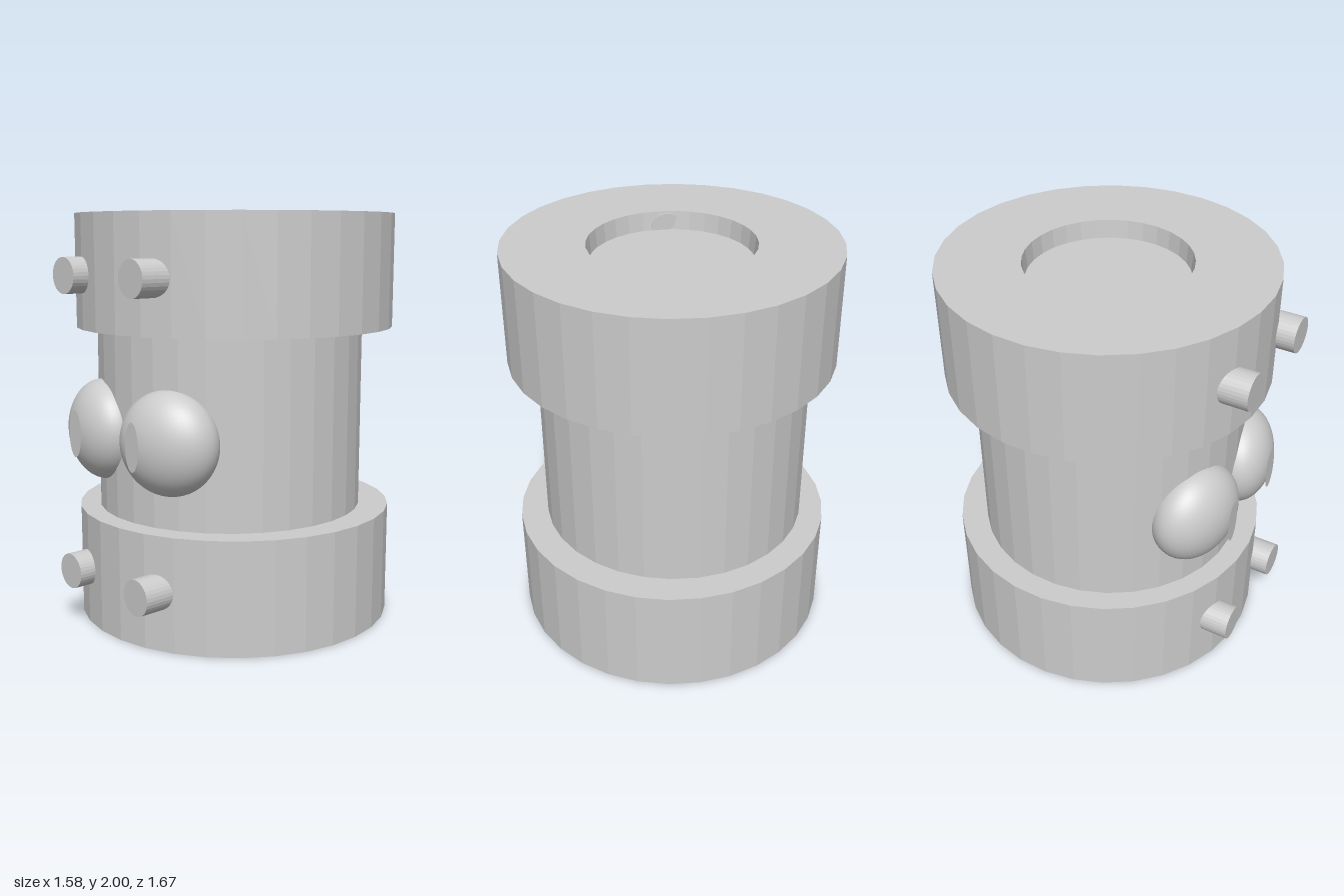
import * as THREE from 'three';

export function createModel() {
  const model = new THREE.Group();
  const flat = new THREE.MeshStandardMaterial({ color: 0xcccccc, flatShading: true });
  const smooth = new THREE.MeshStandardMaterial({ color: 0xcccccc });
  const thin = new THREE.MeshStandardMaterial({ color: 0xcccccc, side: THREE.DoubleSide });
  const TURN = -0.08; // the face details are turned slightly about y

  const add = (name, geometry, material, x, y, z) => {
    const mesh = new THREE.Mesh(geometry, material);
    mesh.name = name;
    mesh.position.set(x, y, z);
    model.add(mesh);
    return mesh;
  };

  // Cylinder lying along z, with its front face at z = 0
  const peg = (radius, length) =>
    new THREE.CylinderGeometry(radius, radius, length, 32).rotateX(Math.PI / 2).translate(0, 0, -length / 2);

  // Middle drum
  add('body', new THREE.CylinderGeometry(0.665, 0.665, 1.0, 32), flat, -0.013, 1, -0.025);

  // Wide collars, each with a shallow round recess in its outer end
  const profile = [[0, 1.45], [0.79, 1.45], [0.79, 2], [0.395, 2], [0.386, 1.91], [0, 1.91]]
    .map(([r, y]) => new THREE.Vector2(r, y));
  const mirrored = profile.map(p => new THREE.Vector2(p.x, 2 - p.y)).reverse();
  add('upperCollar', new THREE.LatheGeometry(profile, 32), flat, 0, 0, -0.045);
  add('lowerCollar', new THREE.LatheGeometry(mirrored, 32), flat, 0, 0, -0.045);

  // Small studs just breaking through the recess walls
  for (const y of [0.085, 1.915]) {
    add('recessStud', peg(0.075, 0.035), smooth, -0.04, y, 0.37);
  }

  // Two front pegs on each collar
  for (const y of [0.28, 1.71]) {
    for (const [x, z] of [[-0.315, 0.785], [0.2, 0.828]]) {
      add('peg', peg(0.086, 0.3), flat, x, y, z).rotation.y = TURN;
    }
  }

  // Flattened eyes following the drum, with thin oval pupils
  const eyes = [
    { x: -0.315, z: 0.55, turn: -0.35, pupilX: -0.315, pupilZ: 0.738 },
    { x: 0.19, z: 0.597, turn: 0.24, pupilX: 0.13, pupilZ: 0.774 },
  ];
  for (const e of eyes) {
    const eye = add('eye', new THREE.SphereGeometry(1, 40, 28), smooth, e.x, 0.957, e.z);
    eye.scale.set(0.25, 0.247, 0.17);
    eye.rotation.y = e.turn;
    const pupil = add('pupil', new THREE.CircleGeometry(1, 32), thin, e.pupilX, 0.955, e.pupilZ);
    pupil.scale.set(0.048, 0.115, 1);
    pupil.rotation.y = TURN;
  }

  return model;
}
